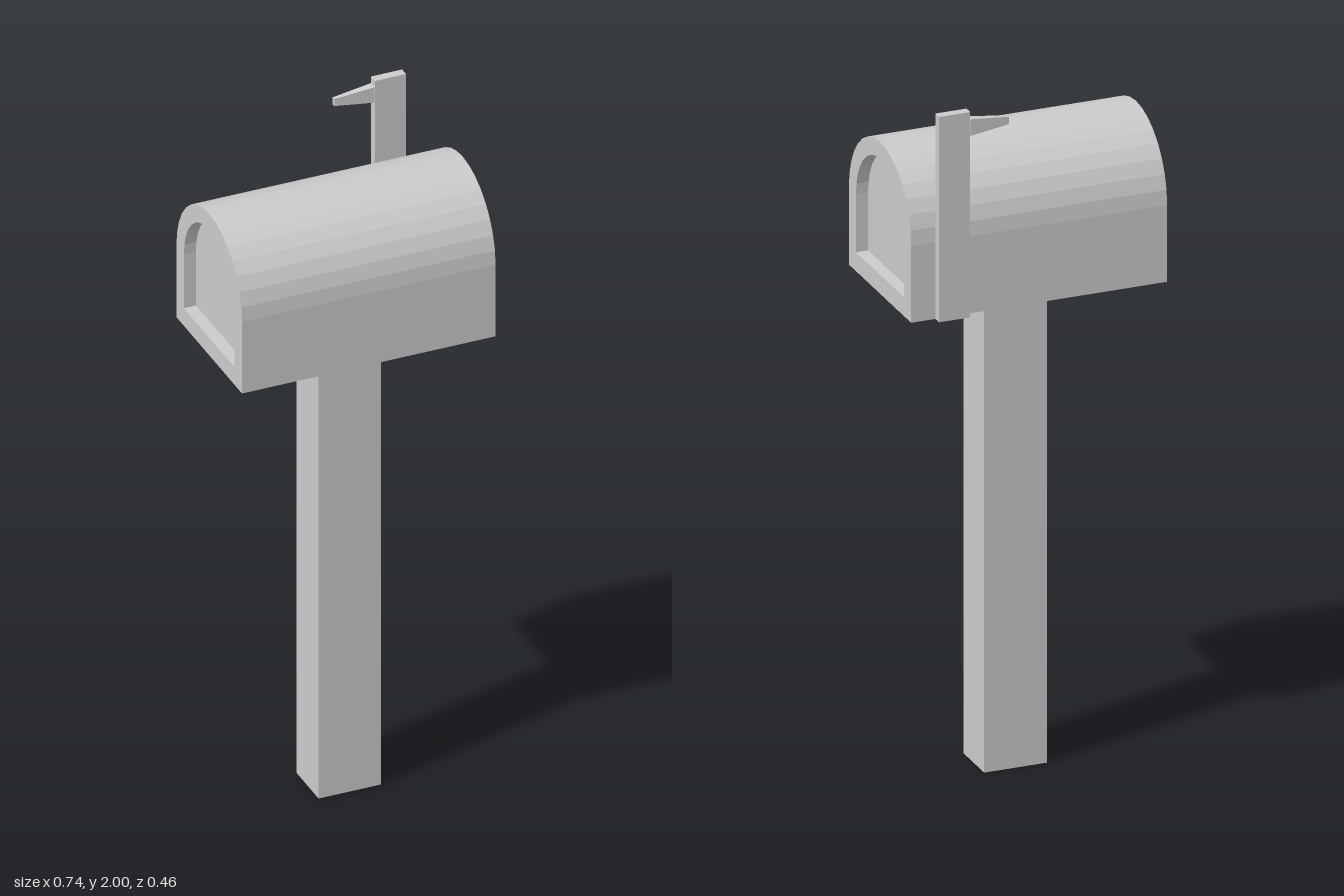
import * as THREE from 'three';

const material = new THREE.MeshStandardMaterial({ color: 0xcccccc, flatShading: true });
const HALF = 0.37, MID_Z = 0.0125, ARCH_Y = 1.6275, BOTTOM = 1.405, FLOOR = 1.46;
const OUTER_R = 0.2175, INNER_R = 0.1675;

function mesh(name, geometry) {
  const m = new THREE.Mesh(geometry, material);
  m.name = name;
  return m;
}

// Box given by its lower and upper corners
function block(name, a, b) {
  const g = new THREE.BoxGeometry(b[0] - a[0], b[1] - a[1], b[2] - a[2]);
  g.translate((a[0] + b[0]) / 2, (a[1] + b[1]) / 2, (a[2] + b[2]) / 2);
  return mesh(name, g);
}

// Extrude an end-on profile along x, from x0 to x1
function alongX(shape, x0, x1) {
  const g = new THREE.ExtrudeGeometry(shape, { depth: x1 - x0, bevelEnabled: false, curveSegments: 8 });
  g.rotateY(Math.PI / 2);
  g.translate(x0, 0, MID_Z);
  return g;
}

export function createModel() {
  const group = new THREE.Group();
  group.name = 'mailbox';

  // Square post, reaching through the opening in the floor
  group.add(block('post', [-0.085, 0, -0.056], [0.097, FLOOR, 0.09]));

  // Arched shell: walls and roof of even thickness
  const shell = new THREE.Shape();
  shell.moveTo(OUTER_R, BOTTOM);
  shell.lineTo(OUTER_R, ARCH_Y);
  shell.absarc(0, ARCH_Y, OUTER_R, 0, Math.PI, false);
  shell.lineTo(-OUTER_R, BOTTOM);
  shell.lineTo(-INNER_R, BOTTOM);
  shell.lineTo(-INNER_R, ARCH_Y);
  shell.absarc(0, ARCH_Y, INNER_R, Math.PI, 0, true);
  shell.lineTo(INNER_R, BOTTOM);
  group.add(mesh('shell', alongX(shell, -HALF, HALF)));

  // Floor with a square opening around the post (drawn in x and -z)
  const rect = (path, x0, x1, z0, z1) => path
    .moveTo(x0, -z1).lineTo(x1, -z1).lineTo(x1, -z0).lineTo(x0, -z0).closePath();
  const floor = rect(new THREE.Shape(), -HALF, HALF, MID_Z - INNER_R, MID_Z + INNER_R);
  floor.holes.push(rect(new THREE.Path(), -0.125, 0.14, -0.125, 0.125));
  const floorGeometry = new THREE.ExtrudeGeometry(floor, { depth: FLOOR - BOTTOM, bevelEnabled: false });
  floorGeometry.rotateX(-Math.PI / 2);
  floorGeometry.translate(0, BOTTOM, 0);
  group.add(mesh('floor', floorGeometry));

  // Recessed panel at each end
  const panel = new THREE.Shape();
  panel.moveTo(-INNER_R, FLOOR);
  panel.lineTo(INNER_R, FLOOR);
  panel.lineTo(INNER_R, ARCH_Y);
  panel.absarc(0, ARCH_Y, INNER_R, 0, Math.PI, false);
  for (const [name, x] of [['leftEndPanel', 0.315], ['rightEndPanel', -0.335]]) {
    group.add(mesh(name, alongX(panel, x, x + 0.02)));
  }

  // Signal flag: upright strip with a pointer tapering towards -x
  const flag = new THREE.Group();
  flag.name = 'flag';
  flag.add(block('flagStrip', [0.21, BOTTOM, -0.231], [0.3, 2, -0.205]));
  const pointer = new THREE.BoxGeometry(0.115, 0.048, 0.024);
  const p = pointer.attributes.position;
  for (let i = 0; i < p.count; i++) {
    if (p.getX(i) < 0) p.setXYZ(i, p.getX(i), p.getY(i) * 0.45, p.getZ(i) * 0.45);
  }
  pointer.translate(0.1525, 1.955, -0.22);
  pointer.computeVertexNormals();
  flag.add(mesh('flagPointer', pointer));
  group.add(flag);

  return group;
}
